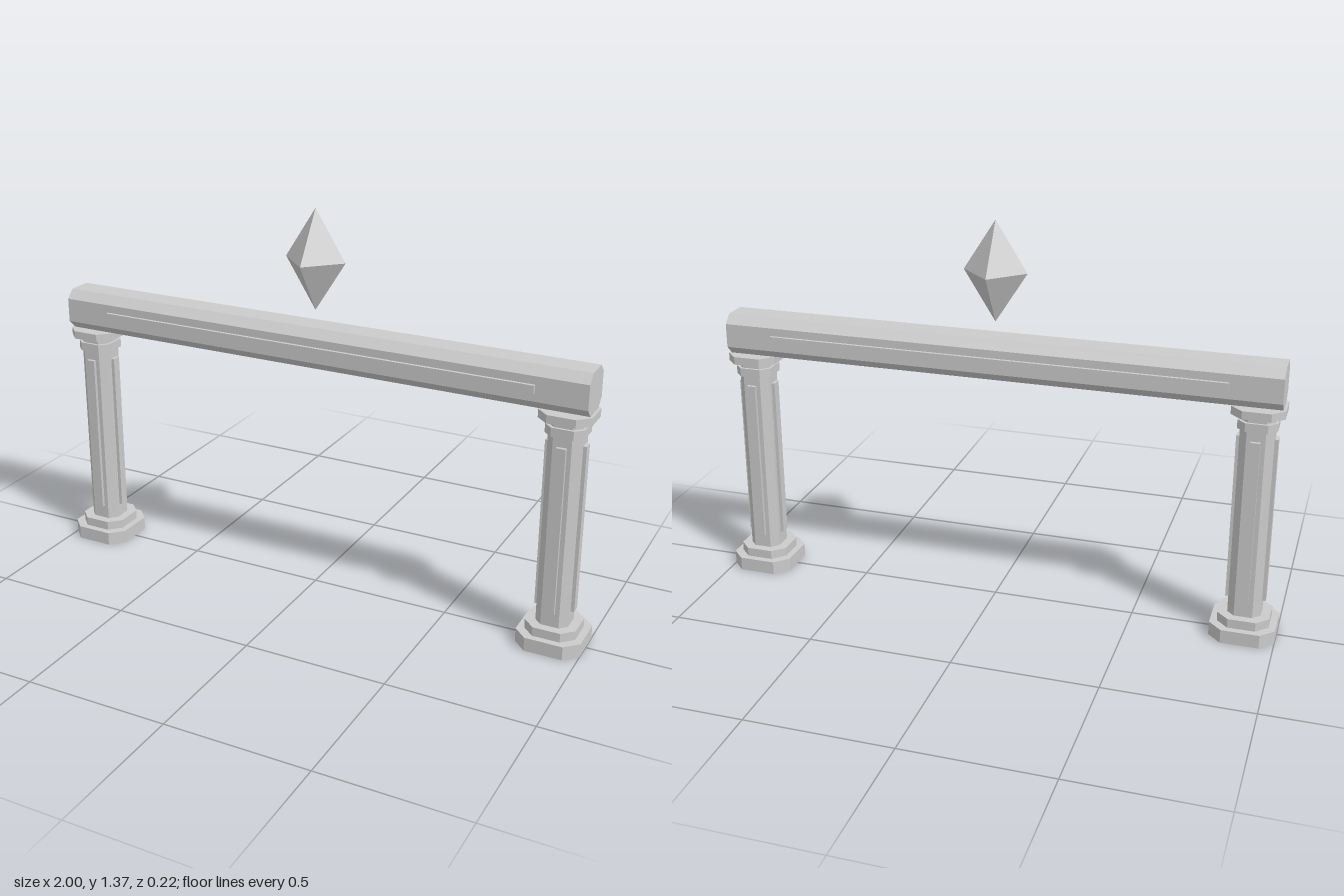
import * as THREE from 'three';

const material = new THREE.MeshStandardMaterial({ color: 0xcccccc, flatShading: true });

function addMesh(parent, name, geometry, x = 0, y = 0, z = 0) {
  const mesh = new THREE.Mesh(geometry, material);
  mesh.name = name;
  mesh.position.set(x, y, z);
  parent.add(mesh);
  return mesh;
}

// Square with cut corners, extruded along +z from the origin.
// half: half width, flatX / flatY: half lengths of the uncut edges
function chamferedPrism(half, flatX, flatY, depth) {
  const shape = new THREE.Shape([
    [half, -flatY], [half, flatY], [flatX, half], [-flatX, half],
    [-half, flatY], [-half, -flatY], [-flatX, -half], [flatX, -half],
  ].map(([x, y]) => new THREE.Vector2(x, y)));
  return new THREE.ExtrudeGeometry(shape, { depth, bevelEnabled: false });
}

function createColumn(name, x) {
  const column = new THREE.Group();
  column.name = name;
  column.position.x = x;

  // Stacked octagonal blocks: name, half width, half flat edge, bottom, top
  const blocks = [
    ['plinth', 0.111, 0.065, 0, 0.048],
    ['baseStep', 0.087, 0.047, 0.048, 0.08],
    ['shaft', 0.056, 0.031, 0.08, 0.8],
    ['neckRing', 0.065, 0.037, 0.75, 0.78],
    ['capital', 0.087, 0.047, 0.8, 0.828],
  ];
  for (const [part, half, flat, bottom, top] of blocks) {
    const geometry = chamferedPrism(half, flat, flat, top - bottom).rotateX(-Math.PI / 2);
    addMesh(column, part, geometry, 0, bottom, 0);
  }

  // One raised strip on each main face of the shaft
  for (let i = 0; i < 4; i++) {
    const angle = i * Math.PI / 2;
    const strip = addMesh(column, 'shaftStrip', new THREE.BoxGeometry(0.032, 0.586, 0.02),
      Math.sin(angle) * 0.058, 0.423, Math.cos(angle) * 0.058);
    strip.rotation.y = angle;
  }
  return column;
}

export function createModel() {
  const model = new THREE.Group();
  model.name = 'gateway';

  model.add(createColumn('leftColumn', 0.889), createColumn('rightColumn', -0.889));

  // Lintel beam with cut edges
  const beam = chamferedPrism(0.072, 0.042, 0.042, 1.934).translate(0, 0, -0.967).rotateY(Math.PI / 2);
  addMesh(model, 'beam', beam, 0, 0.9, 0);

  // Raised strips on the beam's front and back
  for (const side of [1, -1]) {
    addMesh(model, 'beamStrip', new THREE.BoxGeometry(1.59, 0.029, 0.022), 0, 0.9, side * 0.072);
  }

  // Floating crystal
  const crystal = new THREE.OctahedronGeometry(1).scale(0.11, 0.173, 0.11);
  addMesh(model, 'crystal', crystal, 0, 1.193, 0);

  return model;
}
